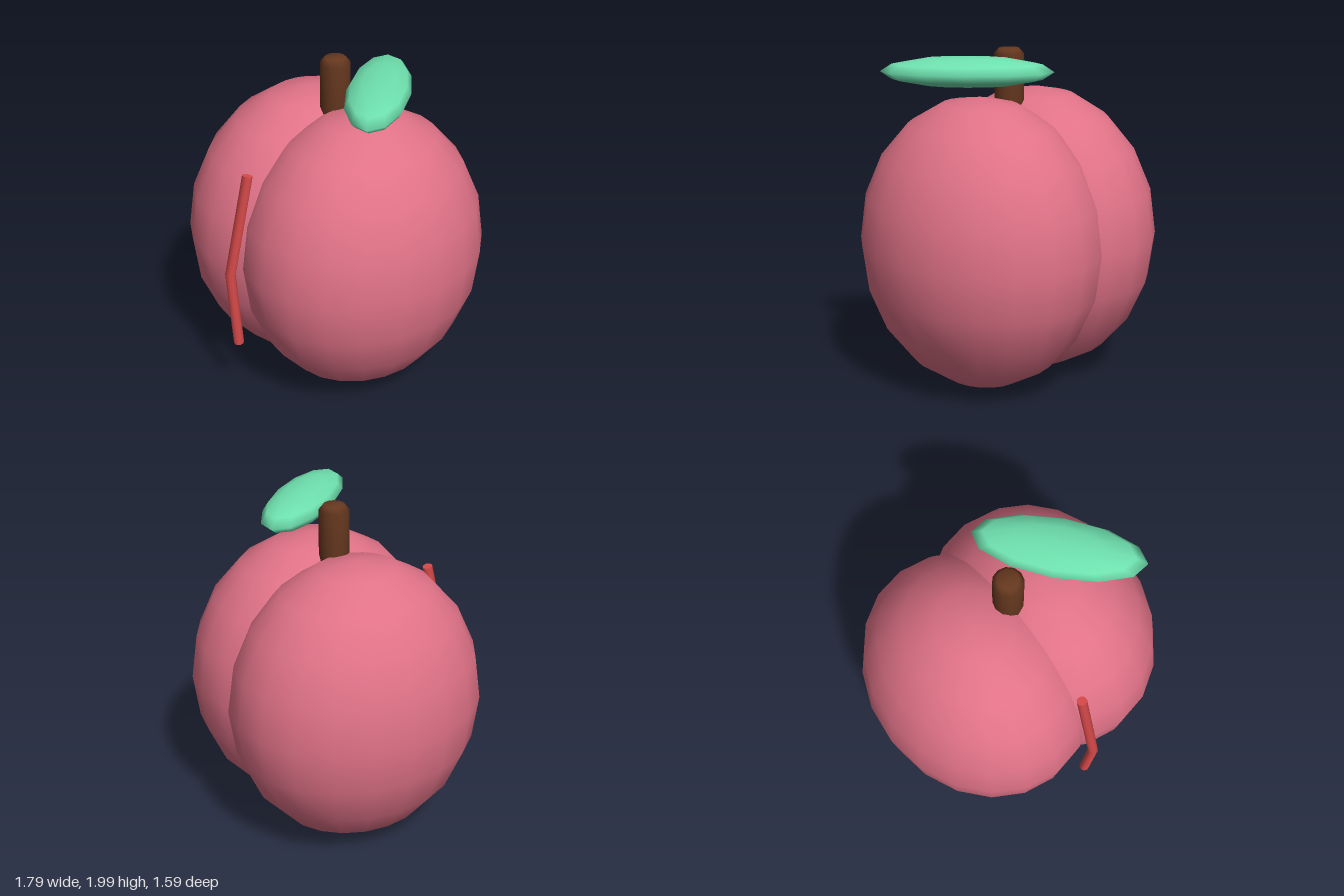
import * as THREE from 'three';

const material = (name, color) => {
  const m = new THREE.MeshStandardMaterial({ color });
  m.name = name;
  return m;
};

// Smooth ellipsoid with few segments
function ellipsoid(name, mat, radii, position, columns, rows) {
  const geometry = new THREE.SphereGeometry(1, columns, rows).scale(...radii);
  const mesh = new THREE.Mesh(geometry, mat);
  mesh.name = name;
  mesh.position.set(...position);
  return mesh;
}

// Closed rod bent in the yz plane; stations run from top to bottom as [y, z, tilt]
function bentRod(radius, stations) {
  const geometry = new THREE.CylinderGeometry(radius, radius, 2, 10, 2);
  const p = geometry.attributes.position;
  for (let i = 0; i < p.count; i++) {
    const [y, z, tilt] = stations[Math.round(1 - p.getY(i))];
    const across = p.getZ(i);
    p.setY(i, y + across * Math.sin(tilt));
    p.setZ(i, z + across * Math.cos(tilt));
  }
  return geometry;
}

export function createModel() {
  const group = new THREE.Group();
  group.name = 'peach';
  const flesh = material('peachPink', 0xe07287);
  const bark = material('stemBrown', 0x66381f);
  const green = material('leafGreen', 0x6ee0ae);
  const red = material('creaseRed', 0xd94a4a);
  const midZ = -0.027;

  // Two overlapping halves of the fruit
  for (const side of [-1, 1]) {
    group.add(ellipsoid(side > 0 ? 'leftHalf' : 'rightHalf', flesh,
      [0.65, 0.868, 0.768], [side * 0.245, 0.877, midZ], 20, 10));
  }

  // Stem with a bevelled top
  const profile = [[0, 1.5], [0.088, 1.53], [0.088, 1.965], [0.06, 1.997], [0, 2]];
  const stem = new THREE.Mesh(
    new THREE.LatheGeometry(profile.map(([x, y]) => new THREE.Vector2(x, y)), 12), bark);
  stem.name = 'stem';
  stem.position.z = midZ;
  group.add(stem);

  // Flattened leaf turned diagonally
  const leaf = ellipsoid('leaf', green, [0.49, 0.087, 0.18], [0.357, 1.903, -0.03], 12, 6);
  leaf.rotation.y = -0.876;
  group.add(leaf);

  // Bent rod along the front crease
  const crease = new THREE.Mesh(
    bentRod(0.03, [[1.467, 0.622, 0.247], [0.88, 0.768, 0.08], [0.39, 0.727, -0.088]]), red);
  crease.name = 'creaseRod';
  group.add(crease);

  return group;
}
